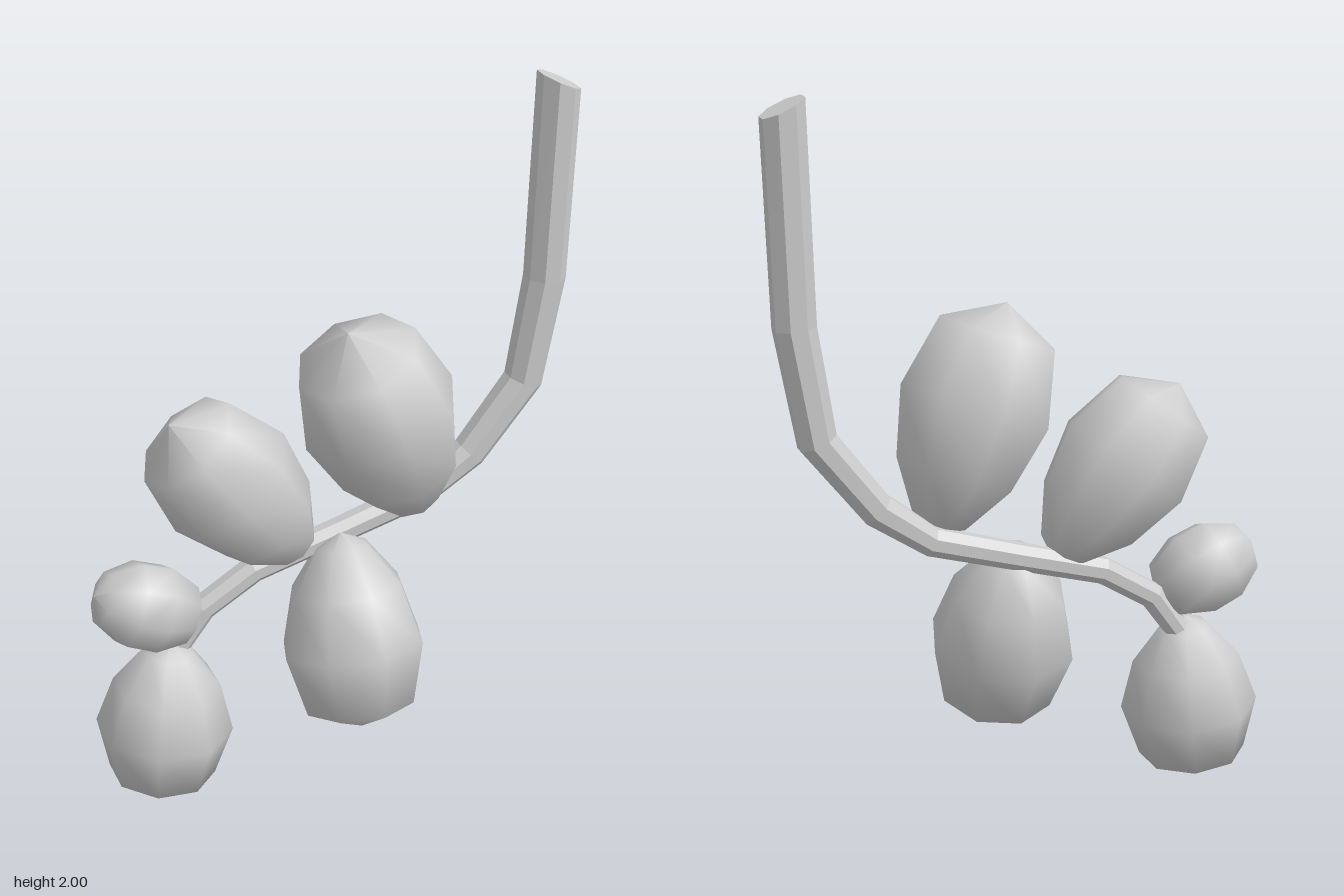
import * as THREE from 'three';

const grey = new THREE.MeshStandardMaterial({ color: 0xcccccc });
const stemGrey = new THREE.MeshStandardMaterial({ color: 0xcccccc, flatShading: true });

// Stem path from its tip up to the cut end: x, y, radius
const STEM = [
  [-0.45, 0.45, 0.034], [-0.37, 0.565, 0.038], [-0.22, 0.66, 0.039], [0.03, 0.732, 0.039],
  [0.27, 0.805, 0.042], [0.417, 0.912, 0.05], [0.572, 1.115, 0.055], [0.622, 1.42, 0.058], [0.635, 1.975, 0.06],
];
const STEM_Z = -0.09;

// Tapered eight-sided stem: cylinder rings moved onto the path
function makeStem() {
  const last = STEM.length - 1;
  const geo = new THREE.CylinderGeometry(1, 1, 1, 8, last, false, Math.PI / 8);
  const pos = geo.attributes.position;
  for (let i = 0; i < pos.count; i++) {
    const k = Math.round((pos.getY(i) + 0.5) * last);
    const [x, y, r] = STEM[k];
    const a = STEM[Math.max(k - 1, 0)], b = STEM[Math.min(k + 1, last)];
    const side = new THREE.Vector2(b[1] - a[1], a[0] - b[0]).normalize();
    if (k === last) side.set(0.97, -0.44); // slanted cut
    const u = pos.getX(i) * r;
    pos.setXYZ(i, x + side.x * u, y + side.y * u, STEM_Z + pos.getZ(i) * r);
  }
  geo.computeVertexNormals();
  const mesh = new THREE.Mesh(geo, stemGrey);
  mesh.name = 'stem';
  return mesh;
}

// Bud profiles from the attached end to the free end: radius, height
const profile = (points) => points.map(([r, h]) => new THREE.Vector2(r, h));
const EGG = profile([[0, 0], [0.36, 0.06], [0.78, 0.27], [1, 0.56], [0.78, 0.87], [0, 1]]);
const ROUND = profile([[0, 0], [0.68, 0.1], [1, 0.38], [0.98, 0.66], [0.6, 0.92], [0, 1]]);

// Eight-sided bud running from base to end
function makeBud(name, base, end, radius, outline = EGG) {
  const from = new THREE.Vector3(...base);
  const axis = new THREE.Vector3(...end).sub(from);
  const mesh = new THREE.Mesh(new THREE.LatheGeometry(outline, 8), grey);
  mesh.name = name;
  mesh.scale.set(radius, axis.length(), radius);
  mesh.position.copy(from);
  mesh.quaternion.setFromUnitVectors(new THREE.Vector3(0, 1, 0), axis.normalize());
  return mesh;
}

export function createModel() {
  const model = new THREE.Group();
  model.name = 'buddingTwig';
  model.add(
    makeStem(),
    makeBud('tipBud', [-0.475, 0.485, -0.075], [-0.52, 0, -0.065], 0.193),
    makeBud('lowerBud', [0.02, 0.75, -0.05], [0.03, 0.195, 0.105], 0.207),
    makeBud('upperLargeBud', [0.24, 0.8, -0.035], [0.01, 1.405, 0.035], 0.22),
    makeBud('upperMiddleBud', [-0.085, 0.7, -0.07], [-0.45, 1.165, -0.07], 0.197),
    makeBud('smallBud', [-0.39, 0.555, -0.07], [-0.68, 0.68, -0.07], 0.125, ROUND),
  );
  return model;
}
